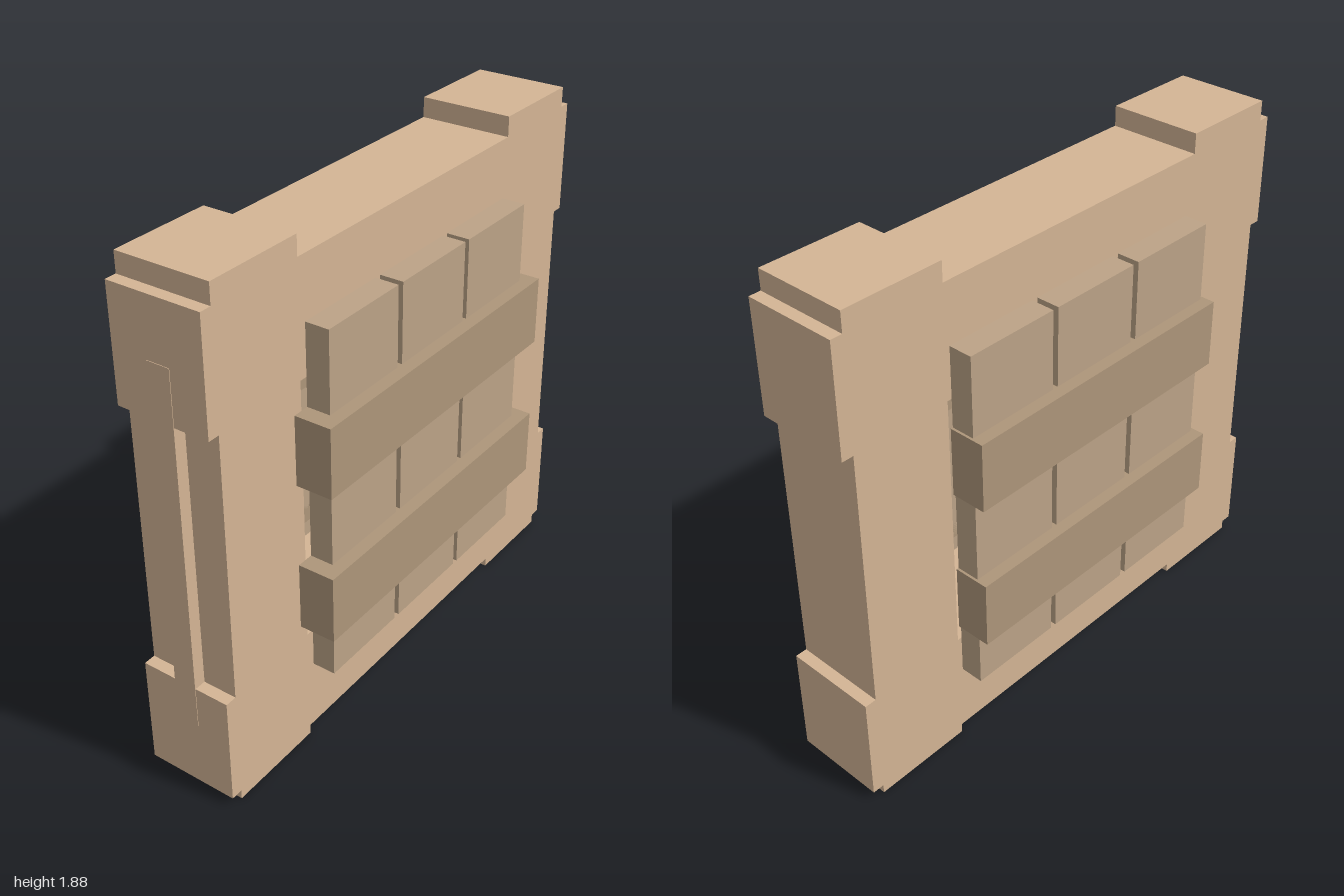
import * as THREE from 'three';

export function createModel() {
  const group = new THREE.Group();
  const mat = (color) => new THREE.MeshStandardMaterial({ color, flatShading: true });
  const wallMat = mat(0xd4b595), plankMat = mat(0xbca387), barMat = mat(0xae967a);

  // Box given by its limits on each axis
  const box = (name, material, [x0, x1], [y0, y1], [z0, z1]) => {
    const mesh = new THREE.Mesh(new THREE.BoxGeometry(x1 - x0, y1 - y0, z1 - z0), material);
    mesh.position.set((x0 + x1) / 2, (y0 + y1) / 2, (z0 + z1) / 2);
    mesh.name = name;
    group.add(mesh);
  };

  // Wall slab: half outline (z, y) from bottom to top, mirrored for the other half
  const half = [
    [0.582, 0.035], [0.582, 0], [0.955, 0], [0.955, 0.035], [0.998, 0.035], [0.998, 0.44],
    [0.955, 0.44], [0.955, 1.408], [0.998, 1.408], [0.998, 1.81], [0.955, 1.81],
    [0.955, 1.882], [0.582, 1.882], [0.582, 1.81],
  ];
  const mirrored = half.map(([z, y]) => [-z, y]).reverse();
  const shape = new THREE.Shape([...half, ...mirrored].map(([z, y]) => new THREE.Vector2(z, y)));

  // Window opening through the wall
  shape.holes.push(new THREE.Path([
    [-0.583, 0.44], [-0.583, 1.408], [0.583, 1.408], [0.583, 0.44],
  ].map(([z, y]) => new THREE.Vector2(z, y))));

  const left = 0.168, right = -0.174;
  const wallGeo = new THREE.ExtrudeGeometry(shape, { depth: left - right, bevelEnabled: false });
  wallGeo.rotateY(-Math.PI / 2).translate(left, 0, 0);
  const wall = new THREE.Mesh(wallGeo, wallMat);
  wall.name = 'wall';
  group.add(wall);

  // Narrow upright strip set in the front edge
  box('frontStrip', wallMat, [-0.044, 0.041], [0.285, 1.6], [0.94, 1]);

  // Boards covering the opening on both sides
  const sides = [
    { name: 'left', plankX: [left, 0.254], barX: [left, 0.302], barZ: [-0.618, 0.617] },
    { name: 'right', plankX: [-0.26, right], barX: [-0.305, right], barZ: [-0.575, 0.57] },
  ];
  for (const { name, plankX, barX, barZ } of sides) {
    for (const z of [[-0.566, -0.21], [-0.187, 0.172], [0.197, 0.554]])
      box(name + 'Plank', plankMat, plankX, [0.293, 1.593], z);
    for (const y of [[0.497, 0.747], [1.052, 1.304]])
      box(name + 'CrossBar', barMat, barX, y, barZ);
  }
  return group;
}
